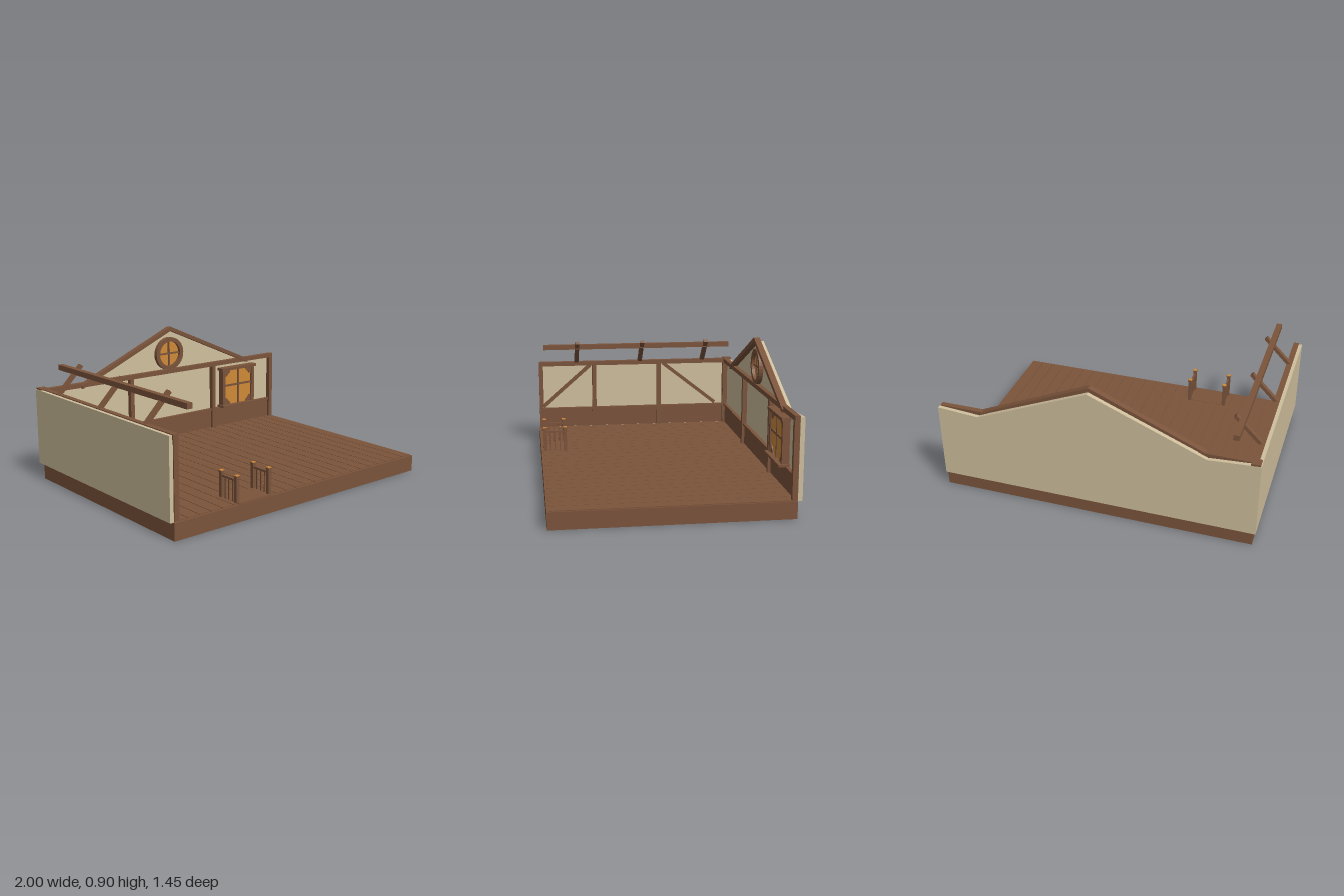
import * as THREE from 'three';

const mat = (name, color) => {
  const m = new THREE.MeshStandardMaterial({ color });
  m.name = name;
  return m;
};

export function createModel() {
  const wood = mat('brown wood', 0x7b543b);
  const plaster = mat('cream plaster', 0xcfbf9d);
  const amber = mat('amber glass', 0xcf8a38);
  const root = new THREE.Group();
  root.name = 'timberRoom';

  const add = (name, geo, material, parent = root) => {
    const m = new THREE.Mesh(geo, material);
    m.name = name;
    parent.add(m);
    return m;
  };
  const group = (name) => {
    const g = new THREE.Group();
    g.name = name;
    root.add(g);
    return g;
  };
  // box given by its extents
  const box = (name, x0, x1, y0, y1, z0, z1, material = wood, parent = root) => {
    const m = add(name, new THREE.BoxGeometry(x1 - x0, y1 - y0, z1 - z0), material, parent);
    m.position.set((x0 + x1) / 2, (y0 + y1) / 2, (z0 + z1) / 2);
    return m;
  };
  // straight timber from a to b; w is across x or z, d along the other
  const beam = (name, a, b, sx, sz, parent = root) => {
    const p = new THREE.Vector3(...a), q = new THREE.Vector3(...b);
    const m = add(name, new THREE.BoxGeometry(sx, p.distanceTo(q), sz), wood, parent);
    m.position.copy(p).add(q).multiplyScalar(0.5);
    m.quaternion.setFromUnitVectors(new THREE.Vector3(0, 1, 0), q.sub(p).normalize());
    return m;
  };

  // platform and floor planks
  box('platform', -0.98, 0.995, 0, 0.105, -0.7, 0.72);
  const floor = group('floor');
  const pitch = 0.0812;
  for (let i = 0; i < 24; i++) {
    const x = -0.96 + i * pitch;
    box('plank', x + 0.002, x + pitch - 0.002, 0.103, 0.11, -0.7, 0.705, wood, floor);
  }
  box('landing', -0.52, -0.27, 0.105, 0.1115, 0.55, 0.715, wood, floor);

  // back wall with gable
  const back = group('backWall');
  const outline = new THREE.Shape([
    [-0.985, 0.105], [0.992, 0.105], [0.992, 0.595], [0.73, 0.575],
    [0.025, 0.875], [-0.69, 0.575], [-0.985, 0.595],
  ].map(([x, y]) => new THREE.Vector2(x, y)));
  add('backPlaster', new THREE.ExtrudeGeometry(outline, { depth: 0.027, bevelEnabled: false }),
    plaster, back).position.z = -0.727;
  box('backWainscot', -0.96, 0.975, 0.11, 0.24, -0.7, -0.686, wood, back);
  box('backDadoRail', -0.96, 0.975, 0.238, 0.253, -0.7, -0.676, wood, back);
  box('backTopBeam', -0.975, 0.987, 0.57, 0.6, -0.703, -0.67, wood, back);
  for (const x of [-0.955, -0.3, 0.415, 0.972])
    box('backPost', x - 0.015, x + 0.015, 0.11, 0.572, -0.7, -0.668, wood, back);
  beam('gableRafter', [-0.695, 0.575, -0.68], [0.027, 0.888, -0.68], 0.026, 0.038, back);
  beam('gableRafter', [0.735, 0.575, -0.68], [0.023, 0.888, -0.68], 0.026, 0.038, back);

  // left side wall
  const side = group('sideWall');
  box('sidePlaster', -1, -0.973, 0.105, 0.595, -0.727, 0.708, plaster, side);
  box('sideWainscot', -0.975, -0.96, 0.11, 0.24, -0.7, 0.705, wood, side);
  box('sideDadoRail', -0.975, -0.95, 0.238, 0.253, -0.7, 0.705, wood, side);
  box('sideTopBeam', -0.978, -0.943, 0.57, 0.6, -0.7, 0.715, wood, side);
  box('cornerCap', -0.995, -0.94, 0.592, 0.605, -0.727, -0.67, wood, side);
  for (const z of [0.7, 0.305, -0.18, -0.68])
    box('sidePost', -0.975, -0.942, 0.11, 0.572, z - 0.015, z + 0.015, wood, side);
  beam('sideBrace', [-0.962, 0.265, 0.685], [-0.962, 0.57, 0.335], 0.024, 0.024, side);
  beam('sideBrace', [-0.962, 0.265, -0.605], [-0.962, 0.57, -0.215], 0.024, 0.024, side);

  // open roof stubs with purlin
  const roof = group('roofFrame');
  for (const z of [0.435, -0.035, -0.505])
    beam('roofRafter', [-0.96, 0.592, z], [-0.795, 0.76, z], 0.022, 0.03, roof);
  box('purlin', -0.857, -0.821, 0.71, 0.744, -0.68, 0.68, wood, roof);

  // rectangular window
  const win = group('squareWindow');
  box('windowPane', 0.505, 0.775, 0.262, 0.53, -0.676, -0.668, amber, win);
  for (const x of [0.502, 0.778])
    box('windowJamb', x - 0.013, x + 0.013, 0.258, 0.532, -0.7, -0.655, wood, win);
  box('windowMuntin', 0.633, 0.647, 0.262, 0.53, -0.672, -0.66, wood, win);
  box('windowMuntin', 0.51, 0.77, 0.403, 0.417, -0.672, -0.66, wood, win);
  box('windowLintel', 0.475, 0.805, 0.526, 0.546, -0.7, -0.645, wood, win);
  box('windowSill', 0.475, 0.805, 0.252, 0.267, -0.7, -0.632, wood, win);
  // stepped corner brackets
  const bracket = new THREE.Shape([[0, 0], [0.052, 0], [0.046, 0.02], [0.03, 0.03], [0.02, 0.046], [0, 0.052]]
    .map(([x, y]) => new THREE.Vector2(x, y)));
  const bracketGeo = new THREE.ExtrudeGeometry(bracket, { depth: 0.008, bevelEnabled: false });
  [[0.514, 0.266], [0.766, 0.266], [0.766, 0.527], [0.514, 0.527]].forEach(([x, y], i) => {
    const m = add('windowBracket', bracketGeo, wood, win);
    m.position.set(x, y, -0.669);
    m.rotation.z = i * Math.PI / 2;
  });

  // round gable window
  const round = group('roundWindow');
  round.position.set(0.025, 0.71, -0.7);
  const pane = add('roundPane', new THREE.CylinderGeometry(0.095, 0.095, 0.016, 32), amber, round);
  pane.rotation.x = Math.PI / 2;
  const ring = new THREE.Shape().absarc(0, 0, 0.115, 0, Math.PI * 2);
  ring.holes.push(new THREE.Path().absarc(0, 0, 0.086, 0, Math.PI * 2, true));
  add('roundFrame', new THREE.ExtrudeGeometry(ring, { depth: 0.028, bevelEnabled: false, curveSegments: 16 }),
    wood, round);
  box('roundMuntin', -0.006, 0.006, -0.09, 0.09, 0, 0.016, wood, round);
  box('roundMuntin', -0.09, 0.09, -0.006, 0.006, 0, 0.016, wood, round);

  // pair of short railings at the front edge
  for (const x of [-0.517, -0.273]) {
    const rail = group('railing');
    for (const z of [0.555, 0.692]) {
      box('newelPost', x - 0.011, x + 0.011, 0.11, 0.265, z - 0.011, z + 0.011, wood, rail);
      box('newelCap', x - 0.014, x + 0.014, 0.263, 0.27, z - 0.014, z + 0.014, wood, rail);
      box('newelTop', x - 0.012, x + 0.012, 0.27, 0.274, z - 0.012, z + 0.012, amber, rail);
    }
    box('handRail', x - 0.006, x + 0.006, 0.235, 0.248, 0.56, 0.69, wood, rail);
    for (const z of [0.59, 0.624, 0.658])
      box('baluster', x - 0.004, x + 0.004, 0.11, 0.24, z - 0.004, z + 0.004, wood, rail);
  }

  return root;
}
